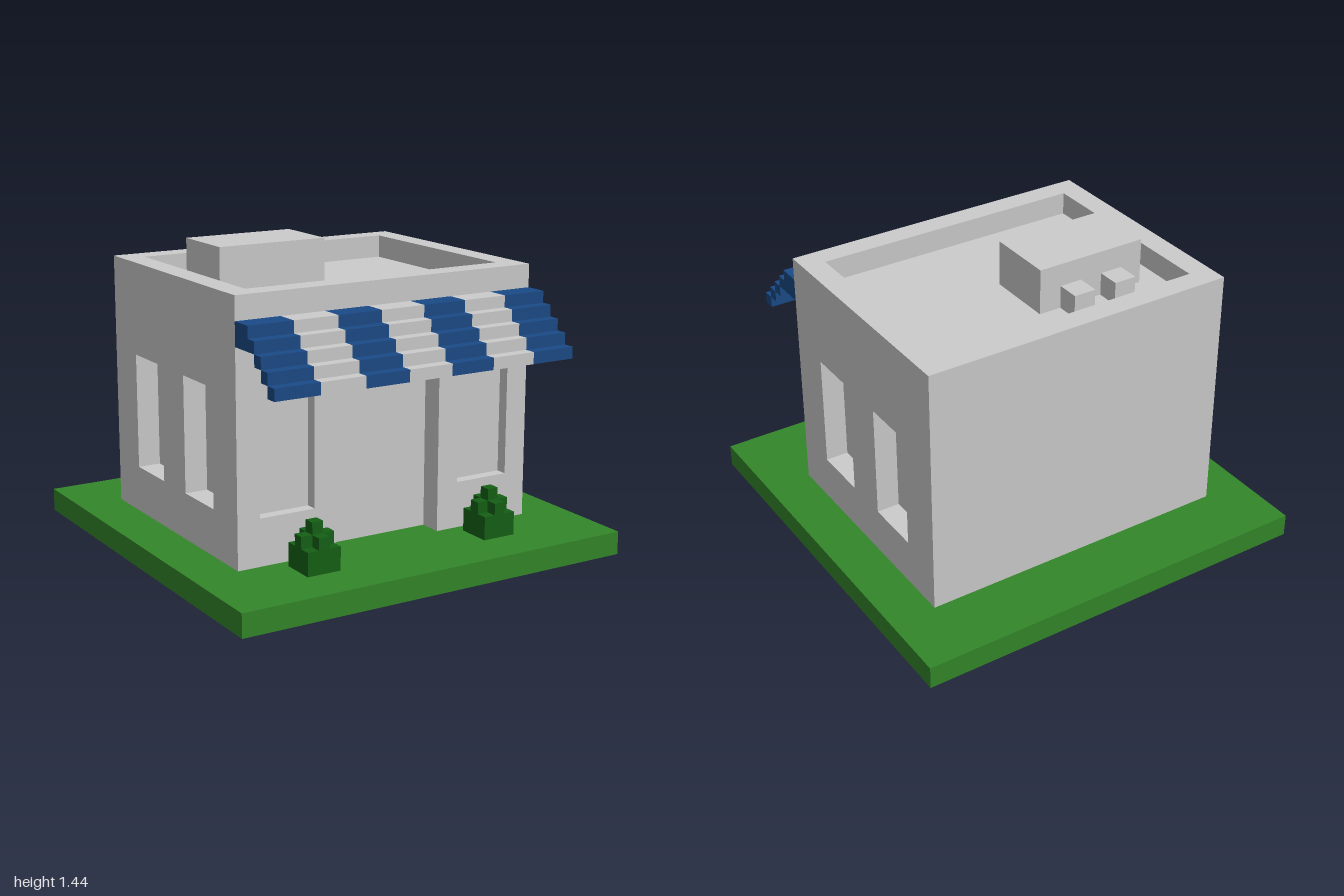
import * as THREE from 'three';

const U = 1 / 18; // one block of the grid

const material = (color) => new THREE.MeshStandardMaterial({ color });

export function createModel() {
  const model = new THREE.Group();
  const grey = material(0xcccccc);
  const grass = material(0x33862a);
  const leaf = material(0x146015);
  const blue = material(0x1a4a86);

  const add = (parent, name, geometry, mat) => {
    const mesh = new THREE.Mesh(geometry, mat);
    mesh.name = name;
    parent.add(mesh);
    return mesh;
  };
  // Box given by its minimum and maximum corners, in blocks
  const box = (parent, name, mat, [x0, y0, z0], [x1, y1, z1]) => {
    const g = new THREE.BoxGeometry((x1 - x0) * U, (y1 - y0) * U, (z1 - z0) * U);
    g.translate((x0 + x1) * U / 2, (y0 + y1) * U / 2, (z0 + z1) * U / 2);
    return add(parent, name, g, mat);
  };
  const path = (points, Type) => new Type(points.map(([x, y]) => new THREE.Vector2(x * U, y * U)));
  const rect = (x0, y0, x1, y1) => [[x0, y0], [x1, y0], [x1, y1], [x0, y1]];
  // Wall two blocks thick with window openings
  const wallGeometry = (outline, windows) => {
    const shape = path(outline, THREE.Shape);
    for (const x of windows) shape.holes.push(path(rect(x, 6, x + 5, 16).reverse(), THREE.Path));
    return new THREE.ExtrudeGeometry(shape, { depth: 2 * U, bevelEnabled: false });
  };

  // Ground
  box(model, 'lawn', grass, [-18, 0, -18], [18, 2, 18]);

  // Building: inner core carries the roof floor, the walls rise above it as a parapet
  const building = new THREE.Group();
  building.name = 'building';
  model.add(building);
  box(building, 'coreAndRoof', grey, [-12, 2, -10], [12, 22, 8]);
  box(building, 'backWall', grey, [-14, 2, -12], [14, 24, -10]);

  const frontOutline = [[-14, 2], [-5, 2], [-5, 18], [5, 18], [5, 2], [14, 2], [14, 24], [-14, 24]];
  add(building, 'frontWall', wallGeometry(frontOutline, [-12, 7]), grey).position.z = 8 * U;
  for (const x of [-9.5, 9.5]) {
    const pane = add(building, 'frontWindowPane', new THREE.PlaneGeometry(5 * U, 10 * U), grey);
    pane.position.set(x * U, 11 * U, 9 * U);
  }

  const sideGeometry = wallGeometry(rect(-8, 2, 10, 24), [-6, 3]).rotateY(Math.PI / 2);
  add(building, 'leftWall', sideGeometry, grey).position.x = 12 * U;
  add(building, 'rightWall', sideGeometry, grey).position.x = -14 * U;

  // Roof unit with two small vents behind it
  const roofUnit = new THREE.Group();
  roofUnit.name = 'roofUnit';
  model.add(roofUnit);
  box(roofUnit, 'housing', grey, [-10, 22, -6], [0, 26, 0]);
  for (const x of [-8, -4]) box(roofUnit, 'vent', grey, [x, 22, -8], [x + 2, 24, -6]);

  // Striped awning stepping down and outwards
  const awning = new THREE.Group();
  awning.name = 'awning';
  model.add(awning);
  const steps = [[10, 12, 21], [10, 13, 20], [13, 14, 19], [14, 15, 18], [15, 16, 17]]; // z0, z1, y
  for (let i = 0; i < 7; i++) {
    const x = -14 + 4 * i;
    for (const [z0, z1, y] of steps) {
      box(awning, 'awningStripe', i % 2 ? grey : blue, [x, y, z0], [x + 4, y + 1, z1]);
    }
  }

  // Bushes: square base, cross-shaped middle, single block on top
  for (const x of [-10, 7]) {
    const bush = new THREE.Group();
    bush.name = 'bush';
    model.add(bush);
    box(bush, 'bushBase', leaf, [x, 2, 11], [x + 3, 4, 14]);
    box(bush, 'bushMiddle', leaf, [x, 4, 12], [x + 3, 5, 13]);
    for (const z of [11, 13]) box(bush, 'bushMiddle', leaf, [x + 1, 4, z], [x + 2, 5, z + 1]);
    box(bush, 'bushTop', leaf, [x + 1, 5, 12], [x + 2, 6, 13]);
  }

  return model;
}
